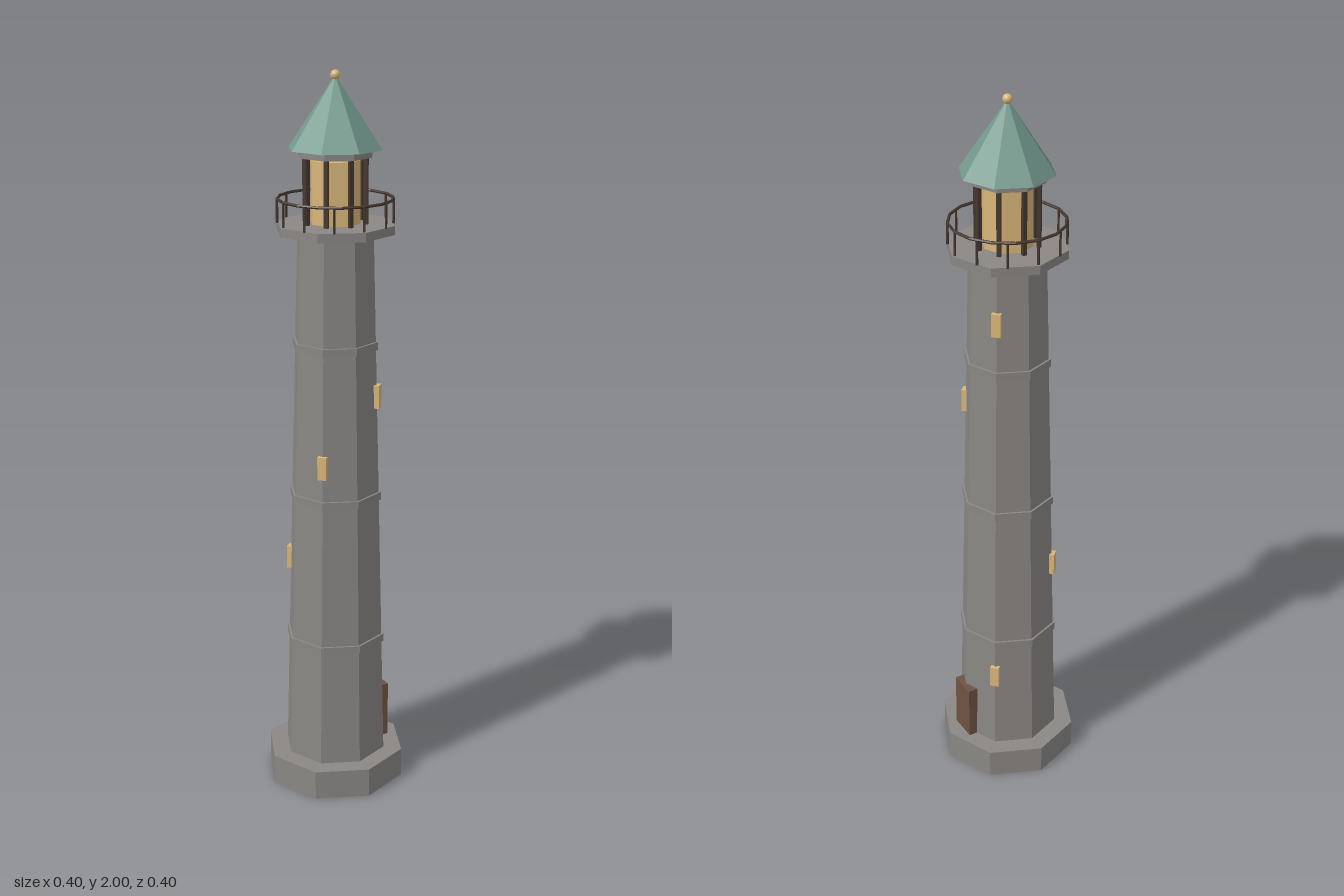
import * as THREE from 'three';

const paint = (name, color) => {
  const m = new THREE.MeshStandardMaterial({ color, flatShading: true });
  m.name = name;
  return m;
};

export function createModel() {
  const stone = paint('grey stone', 0x8a8784);
  const copper = paint('green copper', 0x72998d);
  const glow = paint('warm light', 0xd9b679);
  const wood = paint('brown wood', 0x6e5343);
  const iron = paint('dark iron', 0x46372f);

  const model = new THREE.Group();
  model.name = 'lighthouse';

  const add = (name, geometry, material, x = 0, y = 0, z = 0, turn = 0) => {
    const mesh = new THREE.Mesh(geometry, material);
    mesh.name = name;
    mesh.position.set(x, y, z);
    mesh.rotation.y = turn;
    model.add(mesh);
    return mesh;
  };
  // Upright prism between two heights; eight sides with corners on the axes
  const prism = (name, material, y0, y1, r0, r1 = r0, sides = 8) =>
    add(name, new THREE.CylinderGeometry(r1, r0, y1 - y0, sides), material, 0, (y0 + y1) / 2);
  // Repeats a part evenly around the tower
  const ring = (name, count, radius, y, geometry, material) => {
    for (let i = 0; i < count; i++) {
      const a = (i / count) * Math.PI * 2;
      add(name, geometry, material, Math.sin(a) * radius, y, Math.cos(a) * radius, a);
    }
  };

  // Foundation and tapered shaft
  const BOTTOM = 0.083, TOP = 1.582;
  const shaftRadius = (y) => 0.145 - 0.04 * (y - BOTTOM) / (TOP - BOTTOM);
  prism('foundation', stone, 0, BOTTOM, 0.198);
  prism('shaft', stone, BOTTOM, TOP, shaftRadius(BOTTOM), shaftRadius(TOP));
  for (const y of [0.43, 0.855, 1.28]) {
    prism('stoneBand', stone, y - 0.011, y + 0.011, shaftRadius(y) + 0.006);
  }

  // Door on the +x side
  add('door', new THREE.BoxGeometry(0.032, 0.162, 0.08), wood, 0.137, BOTTOM + 0.081, 0);

  // Small windows climbing around the shaft: height, direction in degrees
  const pane = new THREE.BoxGeometry(0.025, 0.064, 0.016);
  for (const [y, degrees] of [[0.323, 135], [0.648, 225], [0.963, 315], [1.14, 45], [1.427, 135]]) {
    const a = THREE.MathUtils.degToRad(degrees);
    const r = shaftRadius(y) + 0.001;
    add('window', pane, glow, Math.sin(a) * r, y, Math.cos(a) * r, a);
  }

  // Gallery with railing
  prism('gallery', stone, TOP, 1.606, 0.162);
  ring('railingPost', 12, 0.153, 1.638, new THREE.CylinderGeometry(0.0035, 0.0035, 0.066, 6), iron);
  const rail = add('handrail', new THREE.TorusGeometry(0.153, 0.004, 6, 16), iron, 0, 1.671, 0);
  rail.rotation.x = Math.PI / 2;

  // Lantern room
  prism('lamp', glow, 1.606, 1.772, 0.068);
  ring('lanternPost', 8, 0.083, 1.693, new THREE.BoxGeometry(0.011, 0.176, 0.011), iron);
  prism('lanternCollar', stone, 1.78, 1.8, 0.1);

  // Roof and finial
  add('roof', new THREE.ConeGeometry(0.127, 0.187, 8), copper, 0, 1.8935, 0);
  const finialPaint = glow.clone();
  finialPaint.name = 'smooth warm light';
  finialPaint.flatShading = false;
  add('finial', new THREE.SphereGeometry(0.013, 16, 12), finialPaint, 0, 1.987, 0);

  return model;
}
